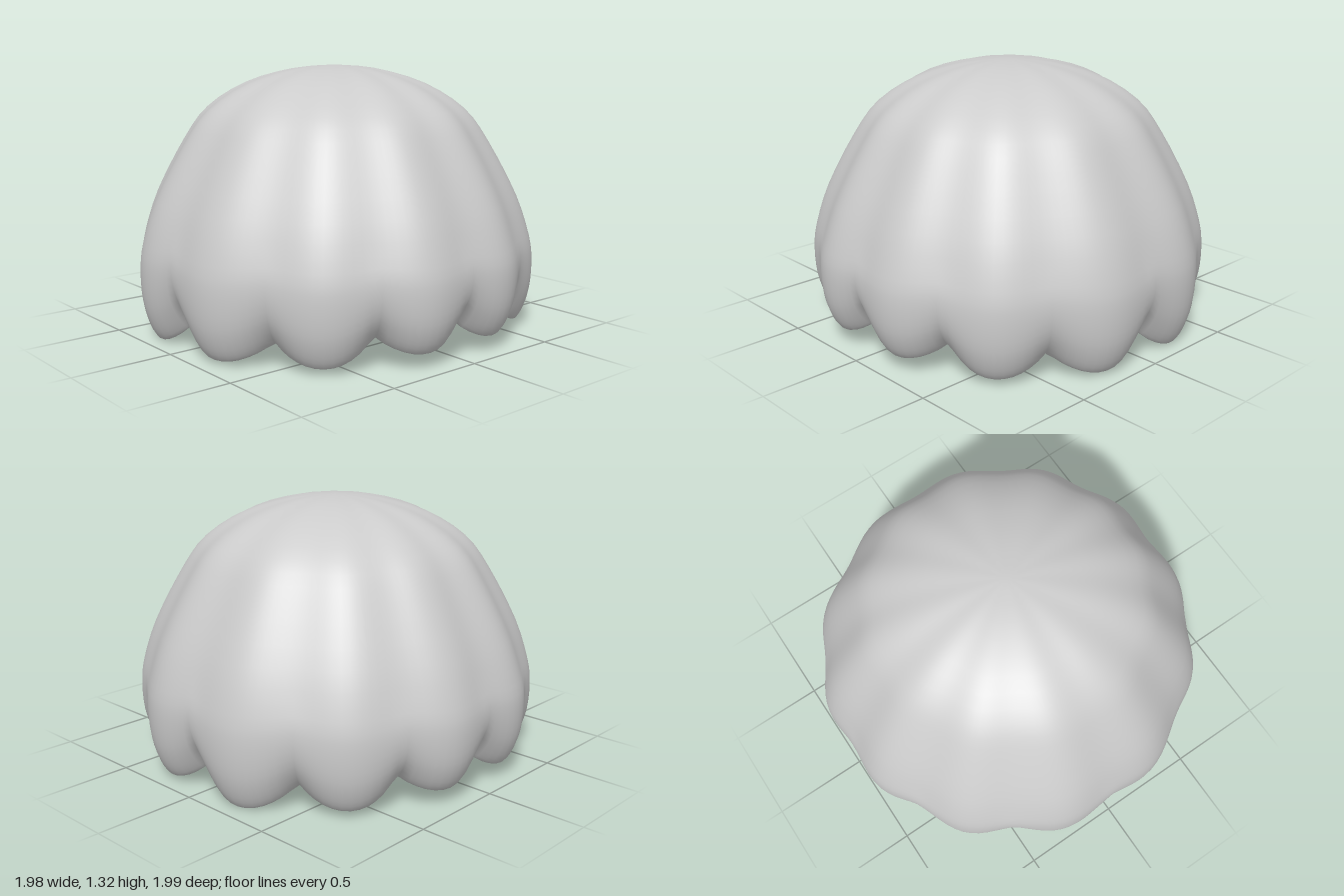
import * as THREE from 'three';

const AROUND = 144;
const HEM = 0.55; // below this height the wall follows the scalloped edge
const NOTCH_ANGLES = [0, 28, 58, 90, 122, 152, 180]; // degrees from the front, both sides
const NOTCHES = [0.18, 0.155, 0.12, 0.15, 0.125, 0.155, 0.18]; // notch heights
const TIPS = [0.07, 0.03, 0.015, 0.0, 0.03, 0.07]; // lobe tip heights between the notches

// scalloped edge at an angle from the front: its height, and how far out on a lobe it is
function scallop(angle) {
  const deg = THREE.MathUtils.radToDeg(Math.min(angle, 2 * Math.PI - angle));
  let k = 0;
  while (k < TIPS.length - 1 && deg >= NOTCH_ANGLES[k + 1]) k++;
  const f = (deg - NOTCH_ANGLES[k]) / (NOTCH_ANGLES[k + 1] - NOTCH_ANGLES[k]);
  const lobe = Math.max(Math.sin(f * Math.PI), 0);
  const notch = THREE.MathUtils.lerp(NOTCHES[k], NOTCHES[k + 1], f);
  return { lobe, height: THREE.MathUtils.lerp(notch, TIPS[k], Math.pow(lobe, 0.75)) };
}

// smooth profile as (radius, height): outside, round the rim, inside
function shellProfile() {
  const outer = [
    [0, 1.32], [0.22, 1.3], [0.46, 1.23], [0.66, 1.105], [0.785, 0.94],
    [0.93, 0.67], [1.0, 0.46], [1.018, 0.32], [1.01, 0.17], [0.98, 0.06], [0.945, 0.0],
  ];
  const inner = [
    [0.925, 0.01], [0.945, 0.08], [0.975, 0.2], [0.98, 0.32], [0.963, 0.45],
    [0.895, 0.66], [0.755, 0.92], [0.635, 1.075], [0.44, 1.195], [0.21, 1.265], [0, 1.285],
  ];
  const points = [...outer, ...inner].map(([r, y]) => new THREE.Vector2(r, y));
  return new THREE.SplineCurve(points).getPoints((points.length - 1) * 3);
}

function shellGeometry() {
  const profile = shellProfile();
  const rows = profile.length;
  const positions = [];
  const index = [];

  for (const p of profile) {
    const lift = Math.max(1 - p.y / HEM, 0);
    const low = THREE.MathUtils.clamp(1 - p.y / 0.35, 0, 1);
    for (let j = 0; j < AROUND; j++) {
      const angle = (j / AROUND) * Math.PI * 2;
      const { lobe, height } = scallop(angle);
      // soft twelve-sided section, with a sharper pinch at each notch near the hem
      const section = 1 - 0.033 * (1 - lobe * lobe);
      const pinch = 1 - 0.06 * low * low * Math.pow(1 - lobe, 1.5);
      const r = Math.max(p.x, 0) * section * pinch;
      positions.push(Math.sin(angle) * r, p.y + height * lift, Math.cos(angle) * r);
    }
  }

  // each pole uses one shared vertex
  const id = (i, j) => i * AROUND + (i === 0 || i === rows - 1 ? 0 : j % AROUND);
  for (let i = 0; i < rows - 1; i++) {
    for (let j = 0; j < AROUND; j++) {
      const a = id(i, j), b = id(i + 1, j), c = id(i + 1, j + 1), d = id(i, j + 1);
      if (i < rows - 2) index.push(a, b, c);
      if (i > 0) index.push(a, c, d);
    }
  }

  const geometry = new THREE.BufferGeometry();
  geometry.setAttribute('position', new THREE.Float32BufferAttribute(positions, 3));
  geometry.setIndex(index);
  geometry.computeVertexNormals();
  return geometry;
}

export function createModel() {
  const group = new THREE.Group();
  group.name = 'scallopedDome';

  // thin hollow dome with a scalloped hem
  const material = new THREE.MeshStandardMaterial({ color: 0xcccccc });
  const shell = new THREE.Mesh(shellGeometry(), material);
  shell.name = 'domeShell';
  group.add(shell);

  return group;
}
